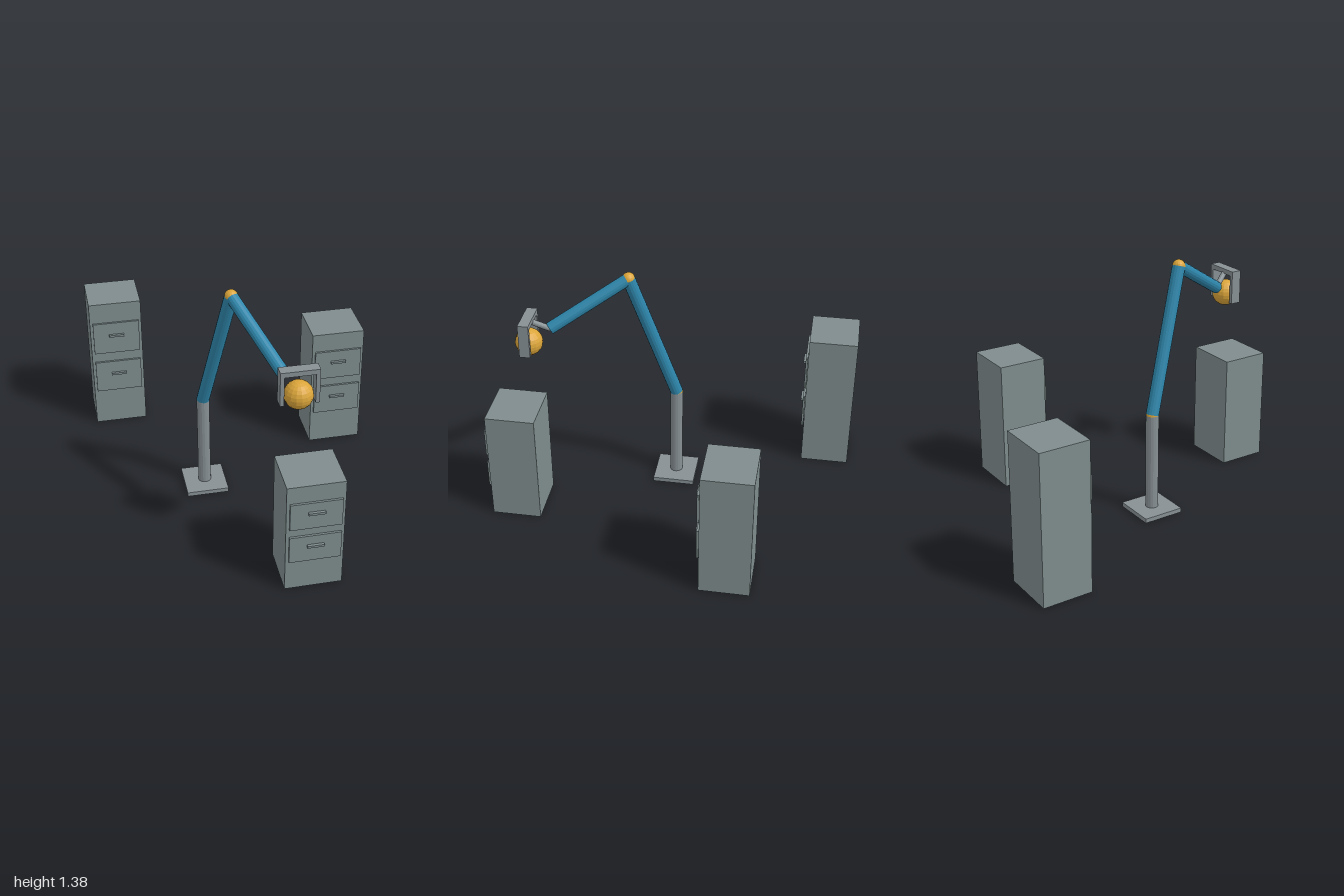
import * as THREE from 'three';

const material = (name, color) => {
  const m = new THREE.MeshStandardMaterial({ color });
  m.name = name;
  m.flatShading = true;
  return m;
};

export function createModel() {
  const cabinetGray = material('cabinet gray', 0x7f8c8d);
  const metalGray = material('metal gray', 0x879094);
  const armBlue = material('arm blue', 0x2e86ab);
  const gold = material('gold', 0xdba53a);

  const model = new THREE.Group();
  model.name = 'robotArmAndCabinets';

  const add = (parent, name, geometry, mat, x, y, z) => {
    const mesh = new THREE.Mesh(geometry, mat);
    mesh.name = name;
    mesh.position.set(x, y, z);
    parent.add(mesh);
    return mesh;
  };
  const box = (parent, name, mat, w, h, d, x, y, z) =>
    add(parent, name, new THREE.BoxGeometry(w, h, d), mat, x, y, z);

  // Straight round link between two joints
  const link = (parent, name, mat, from, to, radius) => {
    const axis = to.clone().sub(from);
    const mid = from.clone().add(to).multiplyScalar(0.5);
    const mesh = add(parent, name, new THREE.CylinderGeometry(radius, radius, axis.length(), 16), mat, mid.x, mid.y, mid.z);
    mesh.quaternion.setFromUnitVectors(new THREE.Vector3(0, 1, 0), axis.normalize());
  };

  // Filing cabinets: two drawers each, placed in proportion to the height
  const depth = 0.275;
  const cabinets = [
    ['backCabinet', -0.622, -0.727, 0.825],
    ['sideCabinet', 0.618, -0.272, 0.737],
    ['frontCabinet', 0.168, 0.97, 0.652],
  ];
  for (const [name, x, front, height] of cabinets) {
    const cabinet = new THREE.Group();
    cabinet.name = name;
    cabinet.position.set(x, 0, front);
    model.add(cabinet);
    box(cabinet, 'body', cabinetGray, 0.305, height, depth, 0, height / 2, -depth / 2);
    for (const level of [0.407, 0.728]) {
      const y = level * height;
      box(cabinet, 'drawer', cabinetGray, 0.272, height * 0.245, 0.012, 0, y, 0.009);
      box(cabinet, 'handle', cabinetGray, 0.088, 0.013, 0.015, 0, y + 0.019, 0.0225);
    }
  }

  // Arm: base, post, two links and the joints between them
  const arm = new THREE.Group();
  arm.name = 'robotArm';
  model.add(arm);
  const foot = new THREE.Vector3(-0.228, 0.025, 0);
  const shoulder = new THREE.Vector3(-0.228, 0.575, 0);
  const elbow = new THREE.Vector3(-0.113, 1.342, 0.243);
  const wrist = new THREE.Vector3(0.068, 1.105, 0.64);
  const palm = new THREE.Vector3(0.12, 1.175, 0.745);

  box(arm, 'base', metalGray, 0.236, 0.025, 0.236, foot.x, 0.0125, 0);
  link(arm, 'post', metalGray, foot, shoulder, 0.036);
  link(arm, 'lowerArm', armBlue, shoulder, elbow, 0.036);
  link(arm, 'upperArm', armBlue, elbow, wrist, 0.034);
  link(arm, 'wristLink', metalGray, wrist, palm, 0.016);
  for (const [name, p] of [['shoulderJoint', shoulder], ['elbowJoint', elbow]]) {
    add(arm, name, new THREE.SphereGeometry(0.036, 16, 12), gold, p.x, p.y, p.z);
  }

  // Gripper with two fingers around the ball
  const gripper = new THREE.Group();
  gripper.name = 'gripper';
  gripper.position.set(0.12, 0, 0.745);
  arm.add(gripper);
  box(gripper, 'gripperBar', metalGray, 0.2, 0.028, 0.058, 0, 1.18, 0);
  for (const side of [-1, 1]) {
    box(gripper, 'finger', metalGray, 0.021, 0.164, 0.058, side * 0.0895, 1.086, 0);
  }
  add(gripper, 'ball', new THREE.SphereGeometry(0.075, 16, 12), gold, 0, 1.045, 0);

  return model;
}
